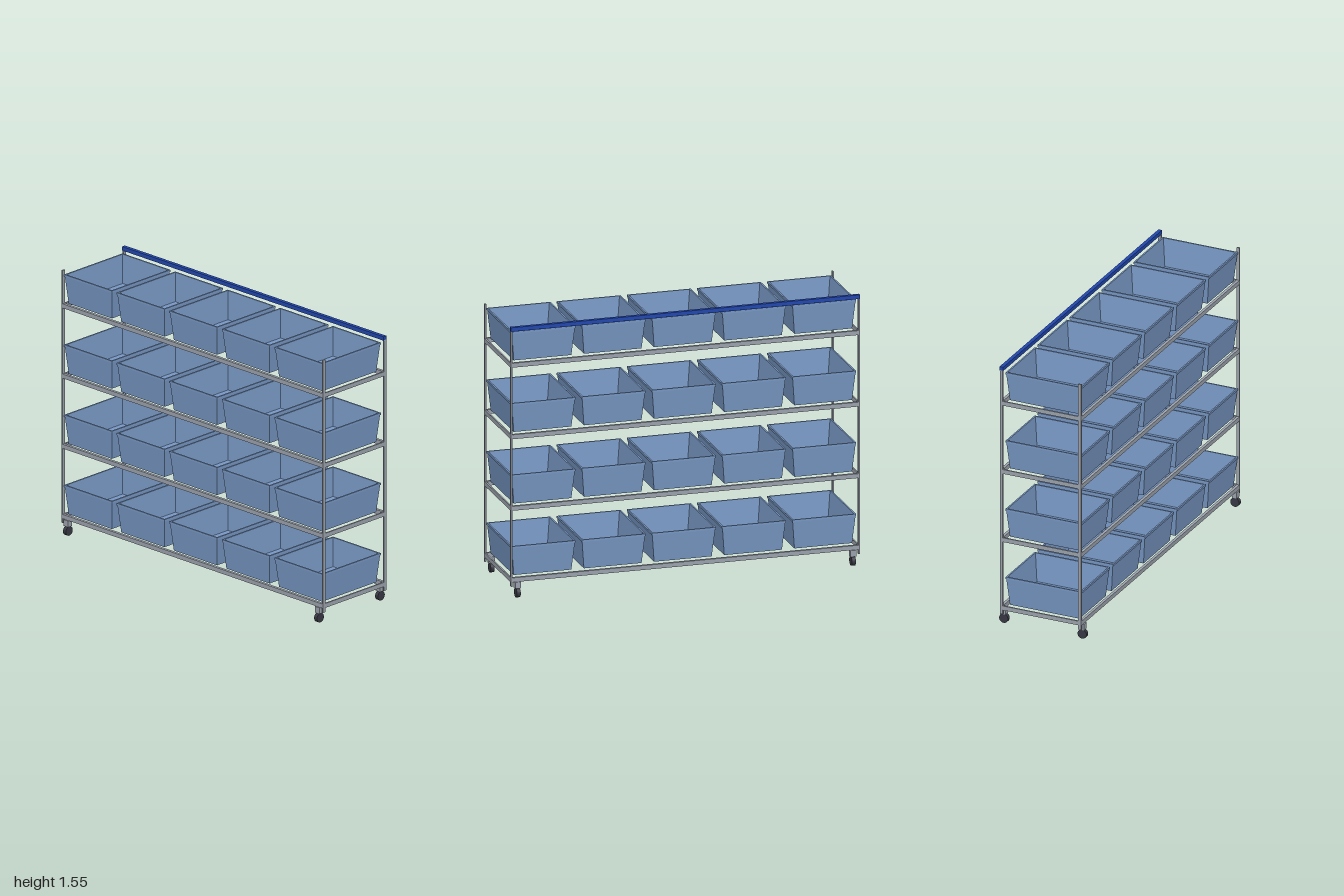
import * as THREE from 'three';

const steel = new THREE.MeshStandardMaterial({ color: 0x9ca3ad, name: 'steel grey' });
const binBlue = new THREE.MeshStandardMaterial({ color: 0x7898c4, name: 'bin blue' });
const barBlue = new THREE.MeshStandardMaterial({ color: 0x2247ae, name: 'bar blue' });
const rubber = new THREE.MeshStandardMaterial({ color: 0x383844, name: 'wheel rubber' });

const Z = 0.238; // distance of the post lines from the middle

function add(parent, name, geometry, material, x, y, z) {
  const mesh = new THREE.Mesh(geometry, material);
  mesh.name = name;
  mesh.position.set(x, y, z);
  parent.add(mesh);
  return mesh;
}

// Open tapered tray: rectangular sections run up the outside, over the rim and down the inside
function binGeometry() {
  const sections = [ // half width, height, half depth
    [0.165, 0, 0.211],
    [0.180, 0.158, 0.226],
    [0.183, 0.158, 0.229],
    [0.183, 0.17, 0.229],
    [0.174, 0.17, 0.220],
    [0.157, 0.008, 0.203],
  ];
  const positions = [];
  for (const [w, y, d] of sections) {
    positions.push(w, y, d, w, y, -d, -w, y, -d, -w, y, d);
  }
  const index = [0, 2, 1, 0, 3, 2];
  for (let i = 0; i < sections.length - 1; i++) {
    for (let j = 0; j < 4; j++) {
      const a = i * 4 + j, b = i * 4 + (j + 1) % 4;
      index.push(a, b, b + 4, a, b + 4, a + 4);
    }
  }
  const f = (sections.length - 1) * 4;
  index.push(f, f + 1, f + 2, f, f + 2, f + 3);
  const indexed = new THREE.BufferGeometry();
  indexed.setAttribute('position', new THREE.Float32BufferAttribute(positions, 3));
  indexed.setIndex(index);
  const geometry = indexed.toNonIndexed();
  geometry.computeVertexNormals();
  return geometry;
}

// Swivel caster: bracket, axle and wheel
function caster(x, z) {
  const group = new THREE.Group();
  group.name = 'caster';
  group.position.set(x, 0, z);
  add(group, 'bracket', new THREE.BoxGeometry(0.034, 0.036, 0.03), steel, 0, 0.072, 0);
  const wheel = new THREE.CylinderGeometry(0.027, 0.027, 0.022, 24).rotateZ(Math.PI / 2);
  add(group, 'wheel', wheel, rubber, 0, 0.027, 0);
  return group;
}

export function createModel() {
  const model = new THREE.Group();
  model.name = 'binTrolley';

  // Corner posts and casters
  for (const side of [-1, 1]) {
    for (const end of [-1, 1]) {
      const top = end > 0 ? 1.54 : 1.53;
      const post = new THREE.BoxGeometry(0.009, top - 0.065, 0.018);
      add(model, 'post', post, steel, side * 0.9955, (top + 0.065) / 2, end * Z);
      model.add(caster(side * 0.96, end * Z));
    }
  }

  // Shelf frames, each with a row of five bins
  const longRail = new THREE.BoxGeometry(1.982, 0.025, 0.017);
  const endRail = new THREE.BoxGeometry(0.009, 0.025, 2 * Z - 0.018);
  const bin = binGeometry();
  for (let level = 0; level < 4; level++) {
    const shelf = new THREE.Group();
    shelf.name = 'shelf';
    shelf.position.y = 0.115 + level * 0.41;
    for (const s of [-1, 1]) {
      add(shelf, 'longRail', longRail, steel, 0, -0.0125, s * Z);
      add(shelf, 'endRail', endRail, steel, s * 0.9955, -0.0125, 0);
    }
    for (let i = -2; i <= 2; i++) {
      add(shelf, 'bin', bin, binBlue, i * 0.402, 0.001, 0.011);
    }
    model.add(shelf);
  }

  // Push bar along the top of the back posts
  add(model, 'pushBar', new THREE.BoxGeometry(2, 0.023, 0.022), barBlue, 0, 1.5385, -Z);

  return model;
}
